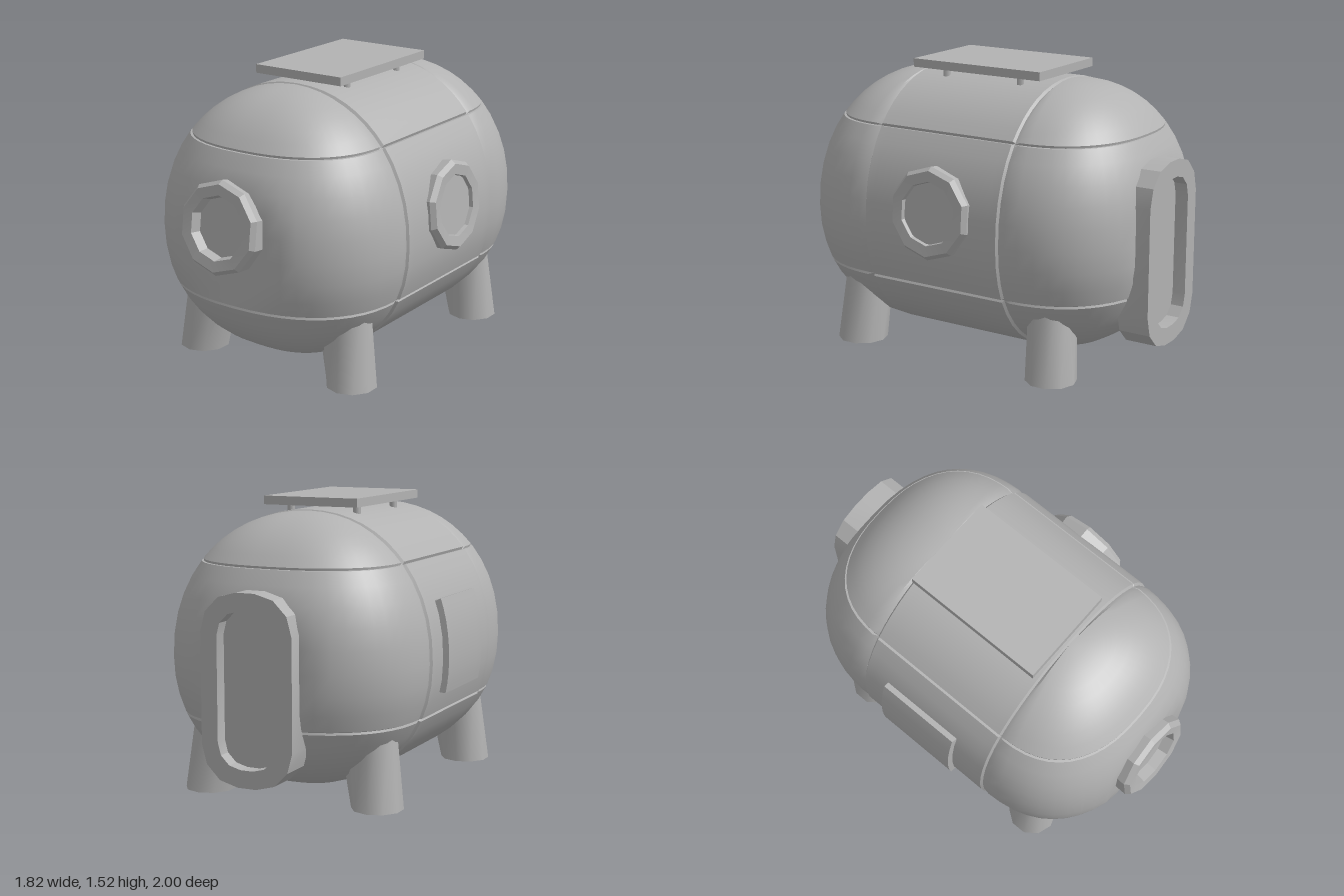
import * as THREE from 'three';
import { toCreasedNormals } from 'three/addons/utils/BufferGeometryUtils.js';

const HALF_W = 0.685, END = 0.59, MID = 0.41; // body half width, end depth, half length of the middle
const CY = 0.72, UP = 0.74, DOWN = 0.66;      // body centre height and reach up and down
const N_PLAN = 2.4, N_SIDE = 2.15;

const spow = (v, p) => Math.sign(v) * Math.pow(Math.abs(v), p);
// latitude on the rounded body at a given height
const lat = y => {
  const d = (y - CY) / (y > CY ? UP : DOWN);
  return Math.asin(spow(Math.max(-1, Math.min(1, d)), N_SIDE / 2));
};
// evenly spaced samples with an extra one close to each end
const samples = n => [0, 0.012, ...Array.from({ length: n - 1 }, (_, i) => (i + 1) / n), 0.988, 1];

// Curved body panel between two heights; plan(t, s) gives [x, z] at width scale s.
function panelGeometry(y0, y1, plan, { scale = 1, lip = 0.988, nx = 14, ny = 8 } = {}) {
  const pos = [], idx = [], ts = samples(nx), vs = samples(ny);
  const a0 = lat(y0), a1 = lat(y1);
  for (const v of vs) {
    const a = a0 + (a1 - a0) * v;
    const pole = Math.abs(a) > 1.56;
    for (const t of ts) {
      const edge = t === 0 || t === 1 || ((v === 0 || v === 1) && !pole);
      const k = scale * (edge ? lip : 1);
      const s = Math.pow(Math.max(0, Math.cos(a)), 2 / N_SIDE) * k;
      const y = CY + spow(Math.sin(a), 2 / N_SIDE) * (a > 0 ? UP : DOWN) * k;
      const [x, z] = plan(t, s);
      pos.push(x, y, z);
    }
  }
  const w = ts.length;
  for (let i = 0; i < vs.length - 1; i++) {
    for (let j = 0; j < w - 1; j++) {
      const a = i * w + j, b = a + 1, c = a + w, d = c + 1;
      idx.push(a, b, d, a, d, c);
    }
  }
  const g = new THREE.BufferGeometry();
  g.setAttribute('position', new THREE.Float32BufferAttribute(pos, 3));
  g.setIndex(idx);
  return toCreasedNormals(g, 0.6);
}

// plan curves: rounded end (slightly flattened for the fittings) and straight side
const endPlan = (t, s) => {
  const a = Math.PI * (1 - t);
  return [HALF_W * s * spow(Math.cos(a), 2 / N_PLAN),
    Math.min(0.955, MID + END * s * spow(Math.max(0, Math.sin(a)), 2 / N_PLAN))];
};
const sidePlan = (z0, z1) => (t, s) => [HALF_W * s, z0 + (z1 - z0) * t];

// outline with chamfer-like rounded corners
function roundedOutline(Type, hw, hh, r, steps = 3) {
  const pts = [];
  [[1, 1], [-1, 1], [-1, -1], [1, -1]].forEach(([sx, sy], q) => {
    for (let i = 0; i <= steps; i++) {
      const a = (q + i / steps) * Math.PI / 2;
      pts.push(new THREE.Vector2(sx * (hw - r) + r * Math.cos(a), sy * (hh - r) + r * Math.sin(a)));
    }
  });
  return new Type(pts);
}

export function createModel() {
  const shell = new THREE.MeshStandardMaterial({ color: 0xb2b2b2, side: THREE.DoubleSide });
  shell.name = 'shellGrey';
  const root = new THREE.Group();
  root.name = 'habitatPod';
  const pod = new THREE.Group();
  pod.name = 'pod';
  pod.rotation.y = -0.567;
  root.add(pod);

  const add = (name, geometry, parent = pod) => {
    const m = new THREE.Mesh(geometry, shell);
    m.name = name;
    parent.add(m);
    return m;
  };

  // body: three bands, each with two rounded ends and two straight sides
  const bands = [['lower', 0.06, 0.43], ['middle', 0.43, 1.215], ['upper', 1.215, 1.46]];
  for (const [band, y0, y1] of bands) {
    const end = panelGeometry(y0, y1, endPlan, { nx: 24 });
    const side = panelGeometry(y0, y1, sidePlan(MID, -MID), { scale: 1.006, lip: 0.982 });
    for (const [dir, turn] of [['Front', 0], ['Back', Math.PI]]) {
      add(`${band}${dir}EndShell`, end).rotation.y = turn;
      add(`${band}${dir === 'Front' ? 'Left' : 'Right'}SideShell`, side).rotation.y = turn;
    }
  }

  // round windows tilted slightly upward: one on the front end, one on the left side
  const ringProfile = [[0.235, 0], [0.24, 0.08], [0.22, 0.105], [0.165, 0.1], [0.15, 0.03]]
    .map(p => new THREE.Vector2(...p));
  const ringGeometry = toCreasedNormals(new THREE.LatheGeometry(ringProfile, 10).rotateX(Math.PI / 2), 0.3);
  const addWindow = (name, x, y, z, turn, tilt, paneDepth) => {
    const g = new THREE.Group();
    g.name = name;
    g.position.set(x, y, z);
    g.rotation.set(-tilt, turn, 0, 'YXZ');
    pod.add(g);
    add('windowRing', ringGeometry, g);
    add('windowPane', new THREE.CircleGeometry(0.165, 10), g).position.z = paneDepth;
  };
  addWindow('frontWindow', -0.025, 0.845, 0.93, 0, 0.14, 0.045);
  addWindow('sideWindow', 0.615, 0.83, -0.01, Math.PI / 2, 0.09, 0.08);

  // tall door on the back end
  const door = new THREE.Group();
  door.name = 'door';
  door.position.set(0.022, 0.63, 0);
  door.rotation.y = Math.PI;
  pod.add(door);
  const frame = roundedOutline(THREE.Shape, 0.25, 0.48, 0.2);
  frame.holes.push(roundedOutline(THREE.Path, 0.16, 0.39, 0.125));
  const frameGeometry = new THREE.ExtrudeGeometry(frame, { depth: 0.172, bevelEnabled: false });
  add('doorFrame', toCreasedNormals(frameGeometry, 0.3), door).position.z = 0.86;
  add('doorLeaf', new THREE.ShapeGeometry(roundedOutline(THREE.Shape, 0.17, 0.4, 0.13)), door).position.z = 0.962;

  // raised hatch on the right side, following the body curve
  add('sideHatch', panelGeometry(0.55, 1.02, sidePlan(0.265, -0.21), { scale: 1.05, lip: 0.945, nx: 6 }))
    .rotation.y = Math.PI;

  // four tapered legs, leaning inward and flaring toward the belly on the inner side
  for (const sx of [-1, 1]) {
    for (const sz of [-1, 1]) {
      const g = new THREE.CylinderGeometry(0.105, 0.133, 0.45, 10).translate(0, 0.225, 0);
      const p = g.attributes.position;
      for (let i = 0; i < p.count; i++) {
        const x = p.getX(i), y = p.getY(i), z = p.getZ(i);
        p.setX(i, x * (sx * x < 0 ? 1 + 2.2 * y : 1) - sx * 0.06 * y);
        p.setZ(i, z - sz * 0.06 * y);
      }
      add(`${sz > 0 ? 'front' : 'back'}${sx > 0 ? 'Left' : 'Right'}Leg`, toCreasedNormals(g, 0.8))
        .position.set(sx * 0.48, 0.005, sz * 0.6);
    }
  }

  // flat roof panel on short posts
  add('roofPanel', new THREE.BoxGeometry(0.53, 0.045, 0.78)).position.set(0, 1.504, 0);
  for (const sx of [-1, 1]) {
    for (const sz of [-1, 1]) {
      add('roofPost', new THREE.CylinderGeometry(0.02, 0.02, 0.09, 6)).position.set(sx * 0.19, 1.44, sz * 0.23);
    }
  }
  return root;
}
